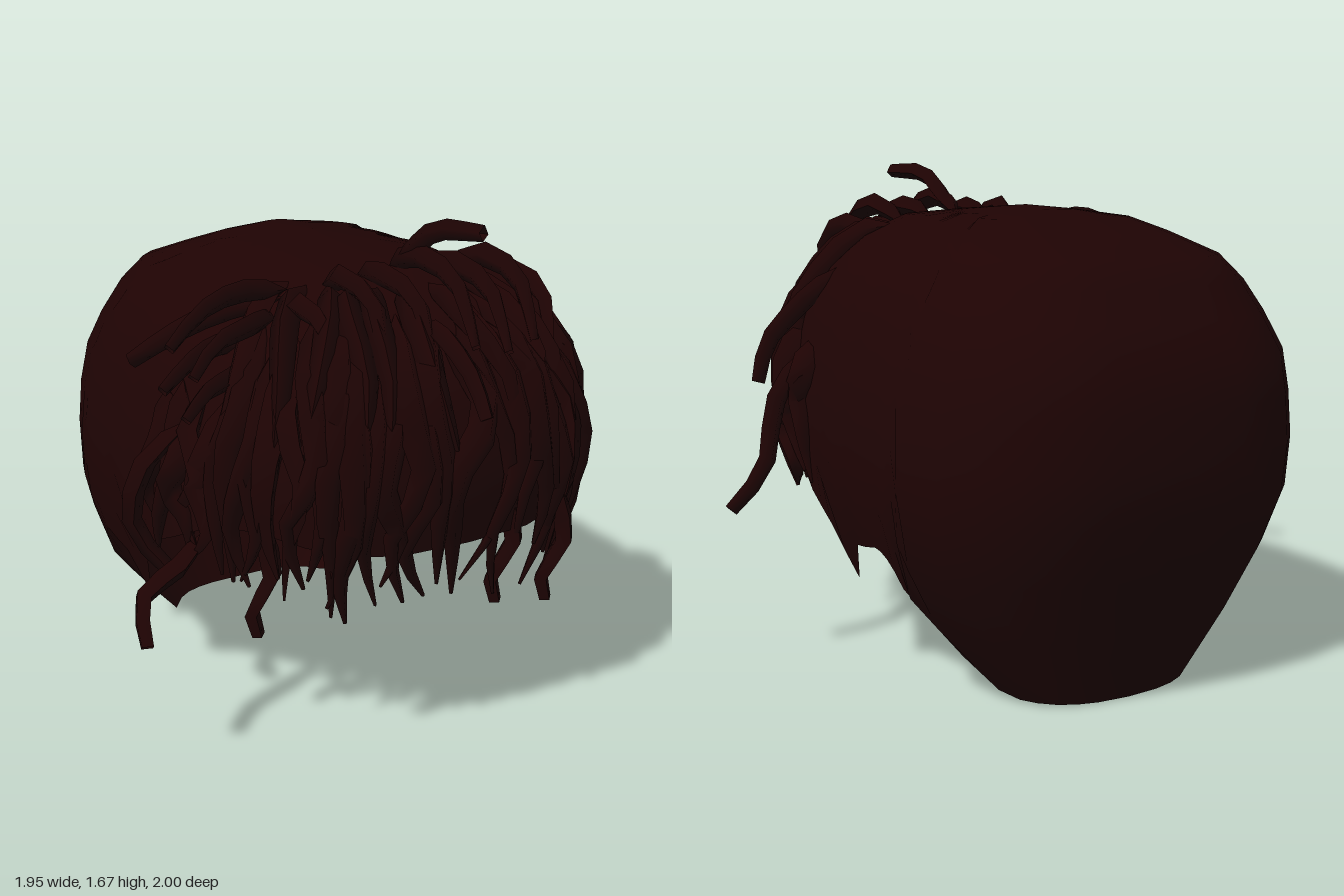
import * as THREE from 'three';

const darkHair = new THREE.MeshStandardMaterial({ color: 0x1e0303, side: THREE.DoubleSide });
darkHair.name = 'darkHair';

const vec = (x, y, z) => new THREE.Vector3(x, y, z);

// Piecewise-linear lookup in a short list of [key, value] pairs
function lookup(table, k) {
  if (k <= table[0][0]) return table[0][1];
  for (let i = 1; i < table.length; i++) {
    const [a, va] = table[i - 1], [b, vb] = table[i];
    if (k <= b) return va + (vb - va) * (k - a) / (b - a);
  }
  return table[table.length - 1][1];
}

// Cap outline by height: half width, back, front and widest z
const TOP = 1.535;
const halfWidth = [[0, 0.35], [0.33, 0.645], [0.6, 0.73], [0.9, 0.725], [1.15, 0.66],
  [1.3, 0.58], [1.43, 0.44], [1.5, 0.29], [TOP, 0]];
const backZ = [[0, -0.73], [0.35, -0.86], [0.71, -1], [1.1, -0.99], [1.39, -0.8], [1.53, -0.36], [TOP, -0.1]];
const frontZ = [[0.5, 0.8], [0.95, 0.88], [1.2, 0.84], [1.4, 0.68], [1.5, 0.46], [TOP, -0.1]];
const middleZ = [[0, -0.4], [0.3, -0.2], [1.4, -0.2], [TOP, -0.1]];
// Height of the lower edge by angle from the back: nape, pointed sideburn, temple, forehead
const rimY = [[0, 0], [60, 0.01], [73, 0.03], [76, 0.38], [79, 0.46], [83, 0.5], [90, 0.47], [92, 0.33],
  [96, 0.5], [101, 0.62], [111, 0.7], [124, 0.8], [160, 0.72]];

// Point on the cap at an angle (0 back, 90 left, 180 front) and a height
function onCap(deg, y, out = 0) {
  const a = THREE.MathUtils.degToRad(deg);
  const square = v => Math.sign(v) * Math.abs(v) ** 0.73;
  const s = square(Math.sin(a)), c = square(Math.cos(a));
  const mid = lookup(middleZ, y);
  const depth = c > 0 ? mid - lookup(backZ, y) : lookup(frontZ, y) - mid;
  return vec(-0.03 + s * (lookup(halfWidth, y) + out), y, mid - c * (depth + out));
}

// Open cap covering crown, back, nape and forehead
function buildCap() {
  const half = [];
  for (let d = 0; d < 180; d += (d >= 72 && d < 108 ? 2 : 12)) half.push(d);
  const ring = [...half, 180, ...half.slice(1).reverse().map(d => 360 - d)];
  const rows = 13, n = ring.length, pos = [], idx = [];
  for (let i = 0; i <= rows; i++) {
    for (const d of ring) {
      const rim = lookup(rimY, Math.min(d, 360 - d));
      pos.push(...onCap(d, rim + (TOP - rim) * (1 - (i / rows) ** 2)).toArray());
    }
  }
  for (let i = 0; i < rows; i++) for (let j = 0; j < n; j++) {
    const k = (j + 1) % n, a = i * n + j, b = i * n + k, c = a + n, e = b + n;
    if (i > 0) idx.push(a, b, c);
    idx.push(b, e, c);
  }
  const g = new THREE.BufferGeometry();
  g.setAttribute('position', new THREE.Float32BufferAttribute(pos, 3));
  g.setIndex(idx);
  g.computeVertexNormals();
  return g;
}

// Tapered strand along a path; tip is the end width as a share of the radius
function strand(points, radius, tip) {
  const path = new THREE.CatmullRomCurve3(points, false, 'centripetal');
  const segs = points.length * 2 - 2, sides = 4;
  const g = new THREE.TubeGeometry(path, segs, radius, sides, false);
  const p = g.attributes.position, v = vec(0, 0, 0);
  for (let k = 0; k < p.count; k++) {
    const t = Math.floor(k / (sides + 1)) / segs;
    const size = t === 0 ? 0 : Math.min(1, 0.5 + t * 2) * (1 - (1 - tip) * t * t);
    const centre = path.getPointAt(t);
    v.fromBufferAttribute(p, k).sub(centre).multiplyScalar(size).add(centre);
    p.setXYZ(k, v.x, v.y, v.z);
  }
  g.computeVertexNormals();
  return g;
}

export function createModel() {
  const model = new THREE.Group();
  model.name = 'hair';
  const add = (name, geometry) => {
    const m = new THREE.Mesh(geometry, darkHair);
    m.name = name;
    model.add(m);
  };
  let seed = 11;
  const rnd = () => (seed = (seed * 16807) % 2147483647) / 2147483647;

  add('cap', buildCap());

  // Fringe: overlapping wavy locks lying on the forehead and temples
  const count = 44;
  for (let i = 0; i < count; i++) {
    const d = 102 + 156 * i / (count - 1), off = Math.abs(d - 180);
    const start = (off > 60 ? 1.0 : 1.25) + rnd() * 0.2;
    const end = (off > 50 ? 0.54 : 0.48) + rnd() * 0.18;
    const pts = [];
    for (let k = 0; k <= 4; k++) {
      const t = k / 4;
      pts.push(onCap(d + (rnd() - 0.5) * 7, start + (end - start) * t, 0.03 * Math.sin(t * Math.PI) * rnd()));
    }
    add('fringeLock', strand(pts, 0.045 + rnd() * 0.025, 0.1));
  }

  // Short raised locks where the fringe meets the crown
  for (let i = 0; i < 12; i++) {
    const d = 122 + 116 * i / 11, drop = rnd() * 0.15;
    const pts = [[1.46, -0.03], [1.43, 0.02], [1.32 - drop, 0.04], [1.12 - drop, 0.02]]
      .map(([y, out]) => onCap(d + (rnd() - 0.5) * 8, y, out));
    add('crownLock', strand(pts, 0.05, 0.2));
  }

  // Crest: locks arching forward over the hairline
  for (let i = 0; i < 7; i++) {
    const x = -0.42 + 0.13 * i, fall = x * x * 0.5, lift = (i % 2) * 0.03;
    add('crestLock', strand([
      vec(x * 0.8, 1.47 - fall, 0.36), vec(x, 1.52 + lift - fall, 0.5),
      vec(x + 0.03, 1.47 + lift - fall, 0.68 - fall), vec(x, 1.3 + lift - fall, 0.84 - fall * 2),
    ], 0.042, 0.4));
  }

  // Fan of locks sweeping out from the upper right
  for (let i = 0; i < 4; i++) {
    const drop = i * 0.07, z = 0.46 + (i % 2) * 0.12 - i * 0.03;
    add('sweptLock', strand([
      vec(-0.38 - i * 0.05, 1.45 - drop, 0.35), vec(-0.56 - i * 0.02, 1.47 - drop * 1.2, z - 0.08),
      vec(-0.72, 1.44 - drop * 1.1, z - 0.02), vec(-0.83 + (i % 2) * 0.03, 1.35 - drop, z),
    ], 0.036, 0.6));
  }

  // Loose bent locks: root, two bends and tip
  const loose = [
    [[-0.66, 0.7, 0.3], [-0.78, 0.63, 0.36], [-0.93, 0.58, 0.42], [-0.955, 0.46, 0.5]],
    [[-0.68, 1.08, 0.3], [-0.82, 0.95, 0.24], [-0.85, 0.72, 0.18], [-0.76, 0.57, 0.26]],
    [[-0.4, 1.43, 0.36], [-0.56, 1.4, 0.29], [-0.7, 1.33, 0.22], [-0.82, 1.24, 0.15]],
    [[0.64, 1.05, 0.25], [0.77, 0.88, 0.2], [0.84, 0.68, 0.13], [0.96, 0.55, 0.13]],
    [[0.48, 1.32, 0.3], [0.66, 1.14, 0.36], [0.73, 1.06, 0.36], [0.77, 0.93, 0.35]],
    [[-0.02, 1.5, 0.4], [-0.02, 1.58, 0.52], [0, 1.63, 0.58], [0.06, 1.64, 0.74]],
    [[-0.1, 1.38, 0.68], [-0.12, 1.36, 0.82], [-0.1, 1.27, 0.92], [-0.09, 1.16, 0.98]],
  ];
  for (const path of loose) add('looseLock', strand(path.map(p => vec(...p)), 0.038, 0.65));

  // Long locks hanging below the fringe: x, tip height, z
  for (const [x, y, z] of [[-0.54, 0.36, 0.42], [0.32, 0.43, 0.79], [0.13, 0.46, 0.77]]) {
    const pts = [vec(x - 0.02, y + 0.45, z + 0.03), vec(x + 0.03, y + 0.2, z + 0.04), vec(x - 0.02, y + 0.1, z), vec(x, y, z)];
    add('hangingLock', strand(pts, 0.038, 0.6));
  }
  return model;
}
